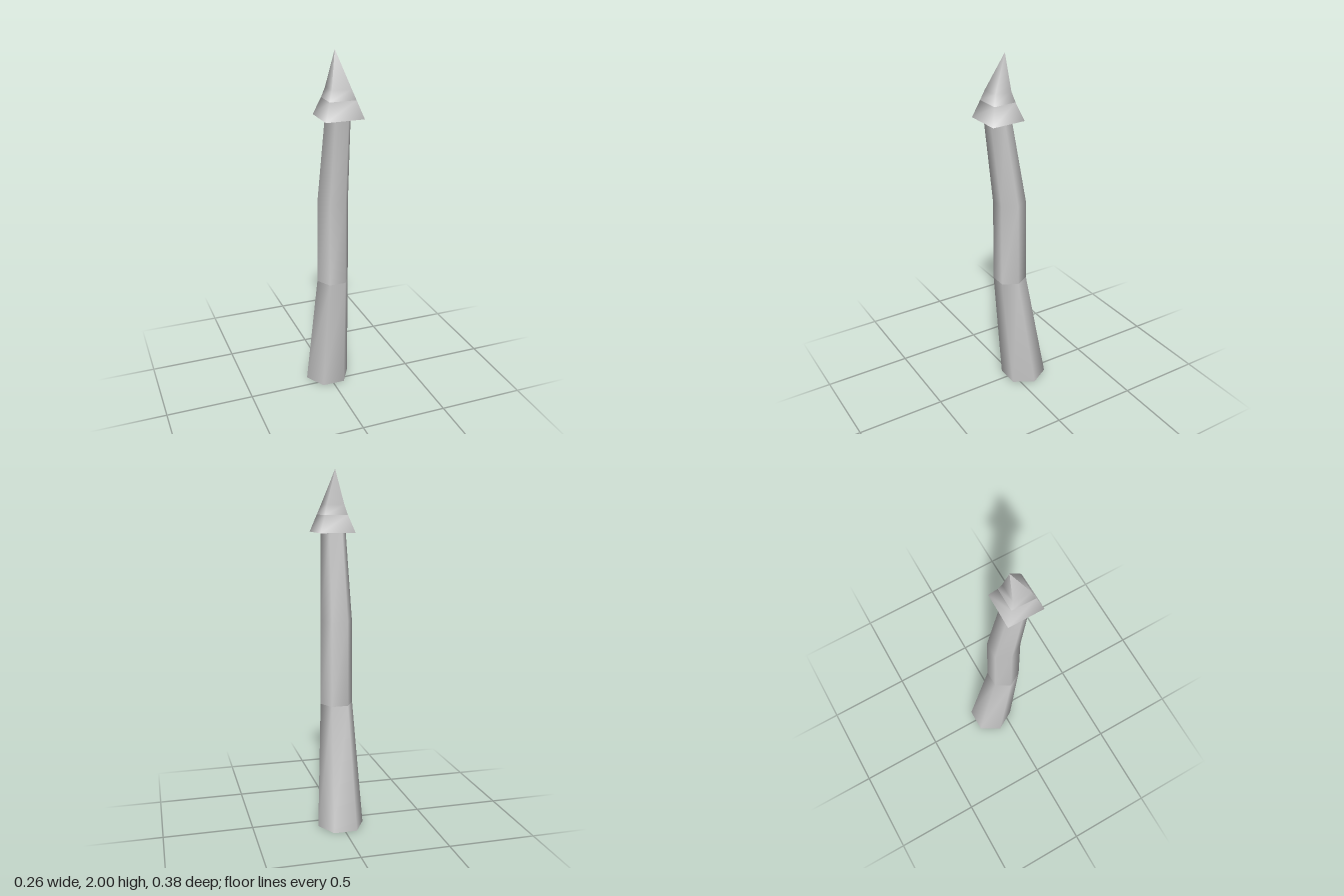
import * as THREE from 'three';

// Skin a stack of rings (each an array of [x, y, z], ordered from +z towards +x).
function loft(rings, capBottom = false) {
  const n = rings[0].length;
  const pos = rings.flat(2);
  const index = [];
  for (let r = 0; r < rings.length - 1; r++) {
    for (let i = 0; i < n; i++) {
      const a = r * n + i, b = r * n + (i + 1) % n;
      index.push(a, b, b + n, a, b + n, a + n);
    }
  }
  if (capBottom) {
    const start = pos.length / 3;
    pos.push(...rings[0].flat());
    for (let i = 1; i < n - 1; i++) index.push(start, start + i + 1, start + i);
  }
  const geo = new THREE.BufferGeometry();
  geo.setAttribute('position', new THREE.Float32BufferAttribute(pos, 3));
  geo.setIndex(index);
  geo.computeVertexNormals();
  return geo;
}

// Six-sided ring with points at left and right.
function hexRing(y, z, radius) {
  return Array.from({ length: 6 }, (_, i) => {
    const a = (i - 0.5) * Math.PI / 3;
    return [Math.sin(a) * radius, y, z + Math.cos(a) * radius];
  });
}

export function createModel() {
  const group = new THREE.Group();
  const grey = new THREE.MeshStandardMaterial({ color: 0xcccccc, side: THREE.DoubleSide });
  grey.name = 'grey';

  const add = (name, geo) => {
    const mesh = new THREE.Mesh(geo, grey);
    mesh.name = name;
    group.add(mesh);
  };

  // Bent shaft, open at the foot, with a hard seam at the lower joint
  const joint = hexRing(0.7, 0.02, 0.093);
  add('lowerShaft', loft([hexRing(0, -0.075, 0.132), joint]));
  add('upperShaft', loft([joint, hexRing(1.18, 0.021, 0.09), hexRing(1.665, 0.092, 0.072)]));

  // Four-sided head: flared skirt, then the point above it
  const skirtTop = [[-0.068, 1.755, 0.155], [0.078, 1.755, 0.155], [0.063, 1.755, 0.022], [-0.066, 1.755, 0.022]];
  const base = [[-0.1, 1.66, 0.187], [0.113, 1.66, 0.184], [0.097, 1.66, -0.012], [-0.1, 1.66, -0.014]];
  const neck = [[-0.05, 1.81, 0.137], [0.058, 1.81, 0.137], [0.049, 1.81, 0.038], [-0.05, 1.81, 0.038]];
  const tip = Array.from({ length: 4 }, () => [0, 2, 0.046]);
  add('headSkirt', loft([base, skirtTop], true));
  add('headPoint', loft([skirtTop, neck, tip]));

  return group;
}
